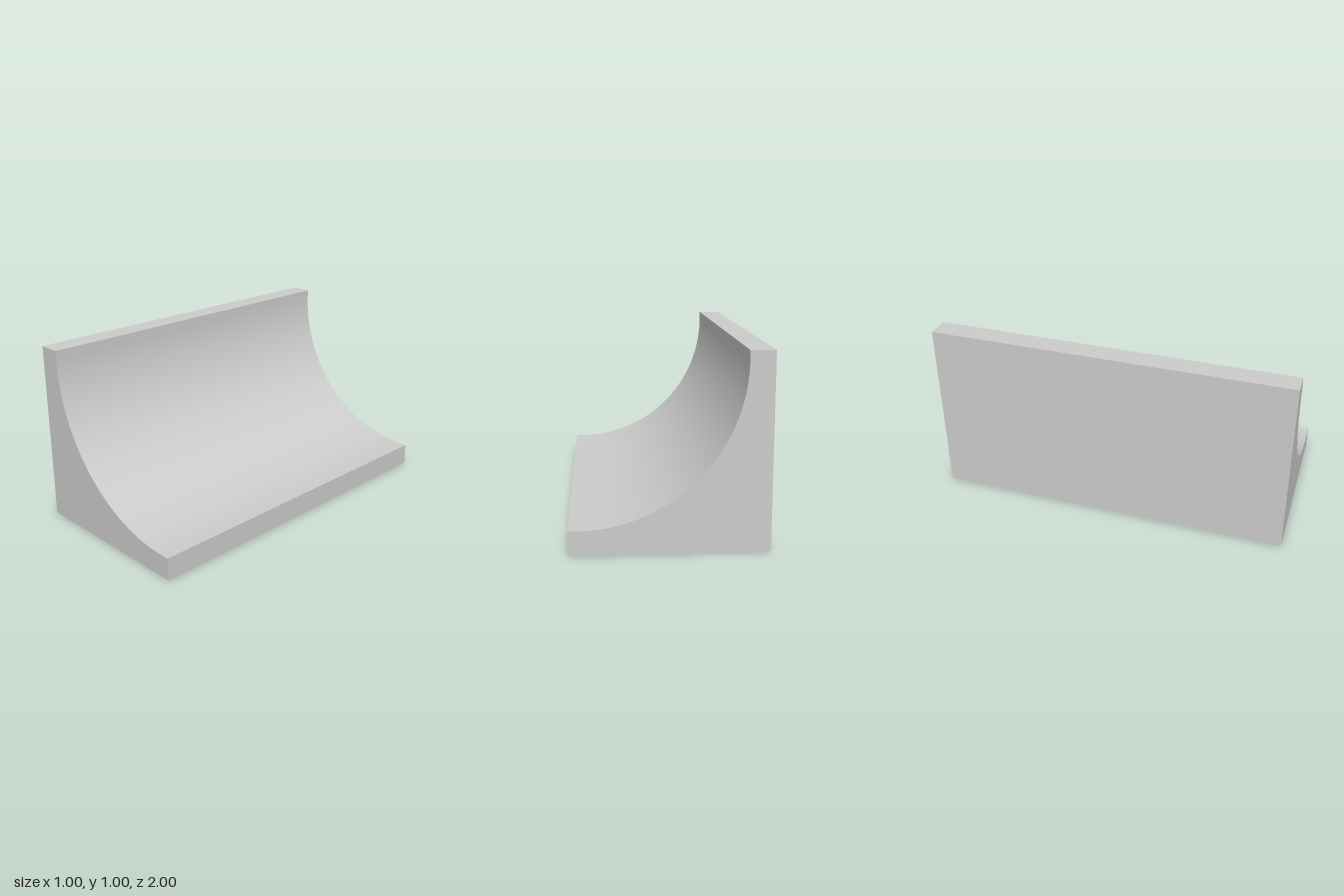
import * as THREE from 'three';
import { toCreasedNormals } from 'three/addons/utils/BufferGeometryUtils.js';

export function createModel() {
  const group = new THREE.Group();
  group.name = 'coveMoulding';

  // L-shaped section with a concave quarter-round between its two lips
  const lip = 0.125, r = 0.829;
  const cx = -0.5 + lip + r, cy = lip + r;
  const section = new THREE.Shape();
  section.moveTo(-0.5, 0);
  section.lineTo(0.5, 0);
  section.lineTo(0.5, lip);
  section.lineTo(cx, lip);
  section.absarc(cx, cy, r, -Math.PI / 2, -Math.PI, true);
  section.lineTo(-0.5 + lip, 1);
  section.lineTo(-0.5, 1);
  section.closePath();

  // Run the section along z, smooth in the cove and sharp at the edges
  const extruded = new THREE.ExtrudeGeometry(section, {
    depth: 2, bevelEnabled: false, curveSegments: 48,
  });
  extruded.translate(0, 0, -1);
  const cove = new THREE.Mesh(
    toCreasedNormals(extruded, Math.PI / 6),
    new THREE.MeshStandardMaterial({ color: 0xcccccc })
  );
  cove.name = 'coveBlock';
  group.add(cove);
  return group;
}
